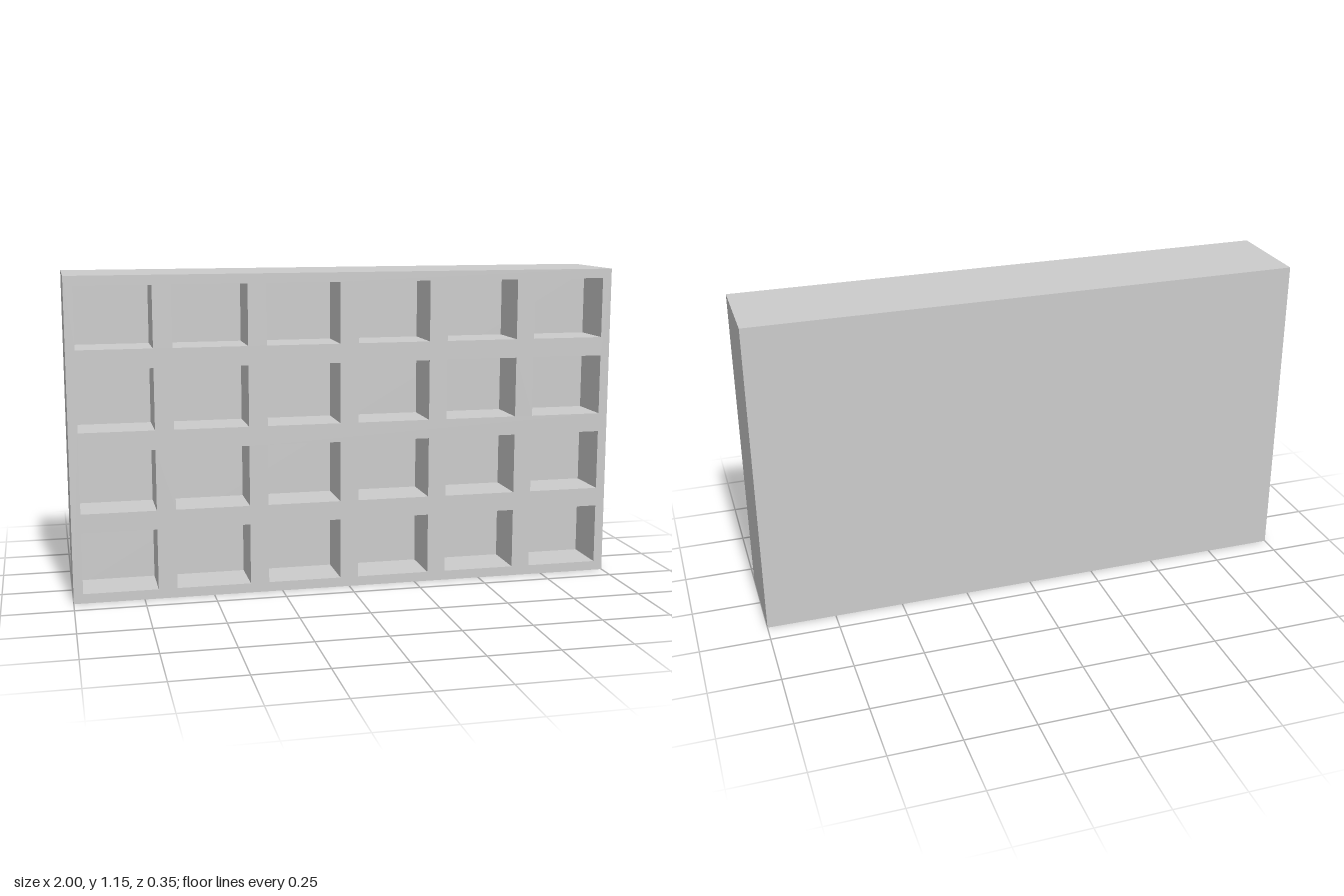
import * as THREE from 'three';

const WIDTH = 2, HEIGHT = 1.155, DEPTH = 0.347;
const COLS = 6, ROWS = 4;
const HOLE_W = 0.266, HOLE_H = 0.22, HOLE_DEPTH = 0.176;

// Traces a centred rectangle onto a Shape or Path
function rect(path, cx, cy, w, h) {
  path.moveTo(cx - w / 2, cy - h / 2);
  path.lineTo(cx + w / 2, cy - h / 2);
  path.lineTo(cx + w / 2, cy + h / 2);
  path.lineTo(cx - w / 2, cy + h / 2);
  path.closePath();
  return path;
}

export function createModel() {
  const group = new THREE.Group();
  group.name = 'pigeonholeShelf';
  const material = new THREE.MeshStandardMaterial({ color: 0xcccccc, flatShading: true });

  // Front lattice: a slab pierced by one opening per cell
  const face = rect(new THREE.Shape(), 0, HEIGHT / 2, WIDTH, HEIGHT);
  const cellW = WIDTH / COLS, cellH = HEIGHT / ROWS;
  for (let row = 0; row < ROWS; row++) {
    for (let col = 0; col < COLS; col++) {
      const x = (col + 0.5) * cellW - WIDTH / 2;
      const y = (row + 0.5) * cellH;
      face.holes.push(rect(new THREE.Path(), x, y, HOLE_W, HOLE_H));
    }
  }
  const lattice = new THREE.Mesh(
    new THREE.ExtrudeGeometry(face, { depth: HOLE_DEPTH, bevelEnabled: false }), material);
  lattice.name = 'compartmentLattice';
  lattice.position.z = DEPTH / 2 - HOLE_DEPTH;
  group.add(lattice);

  // Solid rear block that closes the compartments
  const backDepth = DEPTH - HOLE_DEPTH;
  const back = new THREE.Mesh(new THREE.BoxGeometry(WIDTH, HEIGHT, backDepth), material);
  back.name = 'backBlock';
  back.position.set(0, HEIGHT / 2, -DEPTH / 2 + backDepth / 2);
  group.add(back);

  return group;
}
